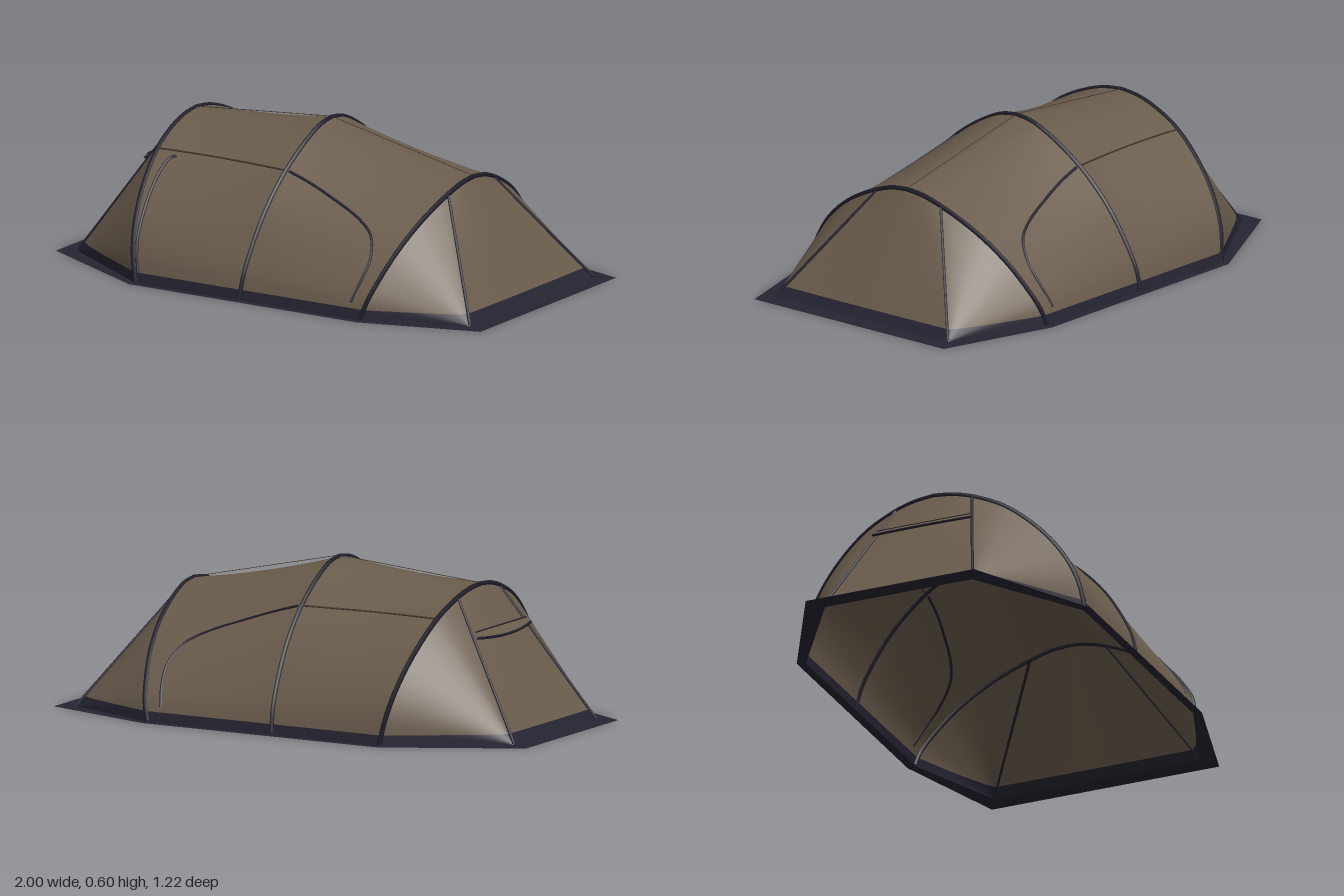
import * as THREE from 'three';

const mat = (name, color, side = THREE.FrontSide) => {
  const m = new THREE.MeshStandardMaterial({ color, side });
  m.name = name;
  return m;
};
const V = (x, y, z) => new THREE.Vector3(x, y, z);
const mix = THREE.MathUtils.lerp;

const HALF = 0.583, BAND = 0.04, SAG = 0.014;

// Hoop outline as (share of half width, share of height) points, returned as width at a given height
function profile(pts) {
  const s = new THREE.CatmullRomCurve3(pts.map(([a, b]) => V(a, b, 0))).getPoints(200);
  return (y) => {
    if (y >= 1) return 0;
    let i = 1;
    while (i < 200 && s[i].y < y) i++;
    const t = (y - s[i - 1].y) / (s[i].y - s[i - 1].y || 1);
    return Math.max(0, mix(s[i - 1].x, s[i].x, t));
  };
}
const round = profile([[1, 0], [0.97, 0.2], [0.9, 0.38], [0.75, 0.6], [0.5, 0.83], [0.27, 0.945], [0.13, 0.985], [0, 1]]);
const peaked = profile([[1, 0], [0.97, 0.15], [0.9, 0.3], [0.76, 0.52], [0.57, 0.72], [0.4, 0.845], [0.27, 0.92], [0.13, 0.98], [0, 1]]);

const hoops = [
  { base: -0.49, top: -0.595, h: 0.545, width: round },
  { base: -0.02, top: 0.02, h: 0.595, width: peaked },
  { base: 0.525, top: 0.66, h: 0.455, width: peaked },
];
const ends = [
  { hoop: hoops[0], x: -0.925, z: 0.31, join: 0.945 },
  { hoop: hoops[2], x: 0.925, z: 0.43, join: 0.92 },
];

// Point on a hoop; angle runs 0 (front foot) to PI (back foot)
function hoopAt(p, a) {
  const y = Math.min(1, Math.sin(a));
  return V(mix(p.base, p.top, y), p.h * y, Math.sign(Math.cos(a)) * p.width(y) * HALF);
}

// Point on the fabric of a bay, found from its x and y
function onSkin(x, y, side) {
  const [a, b] = x < 0.02 && x < mix(-0.02, 0.02, y / 0.6) ? [hoops[0], hoops[1]] : [hoops[1], hoops[2]];
  let u = 0.5, f = 0.5;
  for (let i = 0; i < 25; i++) {
    f = THREE.MathUtils.clamp(y / (mix(a.h, b.h, u) - SAG * 4 * u * (1 - u)), 0, 1);
    const xa = mix(a.base, a.top, f), xb = mix(b.base, b.top, f);
    u = THREE.MathUtils.clamp((x - xa) / (xb - xa), 0, 1);
  }
  return V(x, y, side * HALF * mix(a.width(f), b.width(f), u));
}

// Surface through rows of points
function grid(rows) {
  const n = rows[0].length, idx = [];
  for (let i = 0; i < rows.length - 1; i++)
    for (let j = 0; j < n - 1; j++) {
      const a = i * n + j;
      idx.push(a, a + 1, a + n, a + 1, a + n + 1, a + n);
    }
  const g = new THREE.BufferGeometry().setFromPoints(rows.flat());
  g.setIndex(idx);
  g.computeVertexNormals();
  return g;
}
const steps = (n, a, b) => Array.from({ length: n + 1 }, (_, i) => mix(a, b, i / n));

export function createModel() {
  const fabric = mat('brown fabric', 0x6a5c4c, THREE.DoubleSide);
  const trim = mat('dark trim', 0x252432, THREE.DoubleSide);
  const pole = mat('pole sleeve', 0x1f1e2a);
  const seam = mat('brown seam', 0x40362d);
  const tent = new THREE.Group();
  tent.name = 'tunnelTent';
  const add = (name, geo, m) => {
    const mesh = new THREE.Mesh(geo, m);
    mesh.name = name;
    tent.add(mesh);
  };
  const tube = (name, pts, r, m, n = 40) =>
    add(name, new THREE.TubeGeometry(new THREE.CatmullRomCurve3(pts), n, r, 6), m);

  // Two bays of fabric between the hoops, each with a dark band at the foot
  for (let k = 0; k < 2; k++) {
    const a = hoops[k], b = hoops[k + 1];
    const foot = (p) => Math.asin(BAND / p.h);
    const span = (pa, pb) => steps(12, 0, 1).map((u) => {
      const p = pa.clone().lerp(pb, u);
      p.y -= SAG * 4 * u * (1 - u) * Math.max(0, p.y - BAND) / 0.55;
      return p;
    });
    add('bayFabric', grid(steps(48, 0, 1).map((r) => span(
      hoopAt(a, mix(foot(a), Math.PI - foot(a), r)),
      hoopAt(b, mix(foot(b), Math.PI - foot(b), r))))), fabric);
    for (const back of [0, 1]) {
      const ang = (p, r) => back ? Math.PI - r * foot(p) : r * foot(p);
      add('bayFootBand', grid([0, 1].map((r) => span(hoopAt(a, ang(a, r)), hoopAt(b, ang(b, r))))), trim);
    }
    // Straight cord above the sagging ridge
    tube('ridgeCord', [V(a.top, a.h + 0.004, 0), V(b.top, b.h + 0.004, 0)], 0.0013, seam, 1);
  }

  // Hoop sleeves
  for (const p of hoops)
    tube('hoopSleeve', steps(40, 0.01, Math.PI - 0.01).map((a) => hoopAt(p, a)), 0.0095, pole, 80);

  // Sloping ends: a middle panel and a curved gusset on each side
  for (const e of ends) {
    const p = e.hoop, aJoin = Math.asin(e.join), foot = Math.asin(BAND / p.h);
    const zJoin = hoopAt(p, aJoin).z;
    const ray = (a, from, to) => {
      const h = hoopAt(p, a);
      const q = V(e.x, 0, THREE.MathUtils.clamp(h.z / zJoin, -1, 1) * e.z);
      const cut = Math.min(1, BAND / Math.max(h.y, 1e-4));
      const t = { ground: 0, cut, hoop: 1 };
      return steps(4, t[from], t[to]).map((s) => q.clone().lerp(h, s));
    };
    const middle = steps(12, aJoin, Math.PI - aJoin);
    add('endPanel', grid(middle.map((a) => ray(a, 'cut', 'hoop'))), fabric);
    add('endFootBand', grid(middle.map((a) => ray(a, 'ground', 'cut'))), trim);
    for (const side of [1, -1]) {
      const turn = (a) => side > 0 ? a : Math.PI - a;
      const upper = steps(20, foot, aJoin).map(turn);
      add('gussetPanel', grid(upper.map((a) => ray(a, 'cut', 'hoop'))), fabric);
      add('gussetFootBand', grid([0, ...steps(20, foot, aJoin)].map(turn).map((a) => ray(a, 'ground', 'cut'))), trim);
      tube('endSeam', [V(e.x, 0.005, side * e.z), hoopAt(p, turn(aJoin))], 0.006, pole, 1);
    }
  }

  // Vent hood on the right end
  const ventTop = [], ventLip = [];
  for (const u of steps(16, -1, 1)) {
    ventTop.push(V(-0.687, 0.395, u * 0.195));
    ventLip.push(V(-0.7 - 0.024 * (1 - u * u), 0.375 - 0.01 * (1 - u * u), u * 0.205));
  }
  add('ventHood', grid([ventTop, ventLip]), fabric);
  tube('ventLip', ventLip, 0.0055, pole);
  tube('ventSeam', ventTop, 0.003, pole, 1);

  // Door zips and seams on both long sides
  const door = [[0.025, 0.45], [0.12, 0.422], [0.25, 0.378], [0.38, 0.33], [0.46, 0.285], [0.5, 0.215], [0.495, 0.14], [0.475, 0.06]];
  for (const side of [1, -1]) {
    tube('doorZip', door.map(([x, y]) => onSkin(x, y, side)), 0.006, pole, 60);
    tube('sideSeam', steps(12, -0.57, 0.01).map((x) => onSkin(x, 0.452, side)), 0.004, seam);
  }
  const rear = [[-0.482, 0.438], [-0.503, 0.43], [-0.515, 0.385], [-0.512, 0.28], [-0.502, 0.15], [-0.482, 0.04]];
  tube('sideZip', rear.map(([x, y]) => onSkin(x, y, 1)), 0.007, pole);

  // Flat ground skirt with an open middle
  const outline = (l, lz, a, b, w, r, rz) =>
    [[l, lz], [a, w], [b, w], [r, rz], [r, -rz], [b, -w], [a, -w], [l, -lz]].map(([x, z]) => new THREE.Vector2(x, z));
  const skirt = new THREE.Shape(outline(-1, 0.35, -0.5, 0.53, 0.612, 1, 0.473));
  skirt.holes.push(new THREE.Path(outline(-0.92, 0.305, -0.49, 0.525, 0.578, 0.92, 0.425)));
  add('groundSkirt', new THREE.ShapeGeometry(skirt).rotateX(Math.PI / 2), trim);

  return tent;
}
